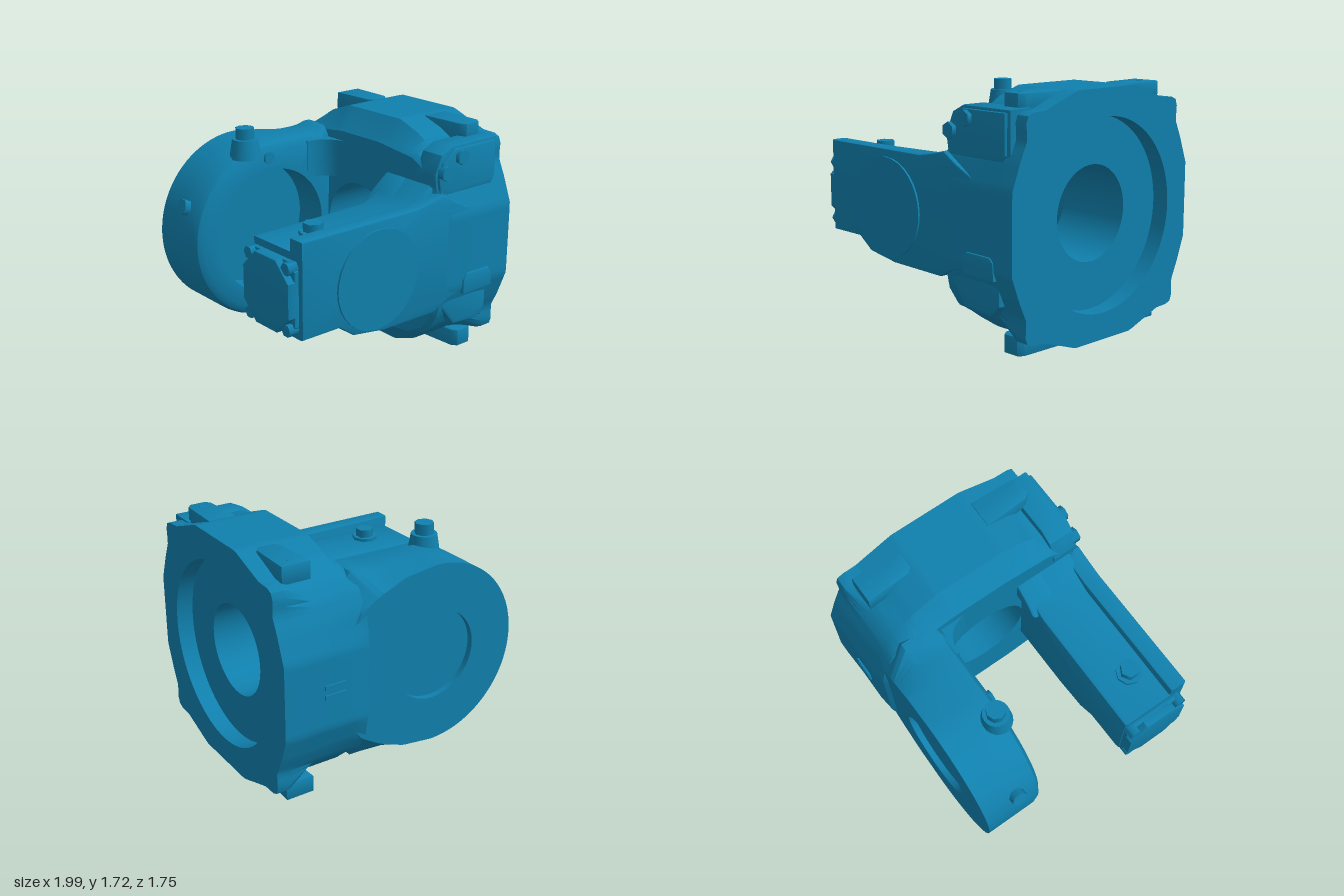
import * as THREE from 'three';
import { toCreasedNormals } from 'three/addons/utils/BufferGeometryUtils.js';

const MID = 0.864; // height of the main axes
const material = new THREE.MeshStandardMaterial({ color: 0x1080ad });

// Distance from the origin to a star-shaped polygon along an angle
function polyRadius(points, angle) {
  const dx = Math.cos(angle), dy = Math.sin(angle);
  let best = 0;
  points.forEach(([ax, ay], i) => {
    const [bx, by] = points[(i + 1) % points.length];
    const ex = bx - ax, ey = by - ay, det = dx * ey - dy * ex;
    if (Math.abs(det) < 1e-9) return;
    const t = (ax * ey - ay * ex) / det, s = (ax * dy - ay * dx) / det;
    if (t > 0 && s >= -1e-6 && s <= 1 + 1e-6) best = Math.max(best, t);
  });
  return best;
}

// Skin over rings [radius or polygon, position along axis, scale]
function loft(rings, place, n = 144) {
  const grid = rings.map(([shape, w, k = 1]) => Array.from({ length: n }, (_, j) => {
    const a = (j / n) * Math.PI * 2;
    const r = k * (typeof shape === 'number' ? shape : polyRadius(shape, a));
    return place(r * Math.cos(a), r * Math.sin(a), w);
  }));
  const pos = [];
  for (let i = 0; i < grid.length - 1; i++) {
    for (let j = 0; j < n; j++) {
      const k = (j + 1) % n;
      const a = grid[i][j], b = grid[i][k], c = grid[i + 1][k], d = grid[i + 1][j];
      pos.push(...a, ...b, ...c, ...a, ...c, ...d);
    }
  }
  const g = new THREE.BufferGeometry();
  g.setAttribute('position', new THREE.Float32BufferAttribute(pos, 3));
  return toCreasedNormals(g, 0.6);
}

// Outline in the xy plane, extruded from z0 to z1 with a small bevel
function slab(points, z0, z1, bevel = 0.015) {
  const shape = new THREE.Shape(points.map(([x, y]) => new THREE.Vector2(x, y)));
  const g = new THREE.ExtrudeGeometry(shape, {
    depth: z1 - z0 - 2 * bevel, bevelSize: bevel, bevelOffset: -bevel, bevelThickness: bevel, bevelSegments: 2,
  });
  return toCreasedNormals(g.translate(0, 0, z0 + bevel), 0.6);
}

export function createModel() {
  const model = new THREE.Group();
  const add = (name, geometry) => {
    const mesh = new THREE.Mesh(geometry, material);
    mesh.name = name;
    model.add(mesh);
    return mesh;
  };
  // Cylinder standing on a point along a direction
  const peg = (name, at, dir, r, h, sides = 6, rBase = r) => {
    const mesh = add(name, new THREE.CylinderGeometry(r, rBase, h, sides));
    const d = new THREE.Vector3(...dir).normalize();
    mesh.quaternion.setFromUnitVectors(new THREE.Vector3(0, 1, 0), d);
    mesh.position.set(...at).addScaledVector(d, h / 2);
  };
  const mirror4 = (quarter) => {
    const back = [...quarter].reverse();
    return [...quarter, ...back.map(([u, v]) => [-u, v]),
      ...quarter.map(([u, v]) => [-u, -v]), ...back.map(([u, v]) => [u, -v])];
  };

  // Body: bored housing with a recessed mounting face
  const inner = mirror4([[0.81, 0.3], [0.78, 0.45], [0.7, 0.58], [0.55, 0.66], [0.2, 0.7]]);
  const middle = mirror4([[0.86, 0.27], [0.79, 0.46], [0.73, 0.58], [0.64, 0.68], [0.47, 0.79],
    [0.28, 0.86]]);
  const flange = mirror4([[0.868, 0.27], [0.8, 0.45], [0.74, 0.58], [0.75, 0.72], [0.7, 0.75],
    [0.58, 0.755], [0.45, 0.8], [0.28, 0.86]]);
  add('body', loft([
    [0.335, 0.31], [inner, 0.31], [inner, 0.34, 1.04], [middle, 0.45], [middle, 0.7], [flange, 0.9],
    [flange, 0.995], [0.67, 0.995], [0.67, 0.87], [0.335, 0.87], [0.335, 0.31],
  ], (u, v, w) => [w, MID + v, -u]));

  // Mounting tabs at top and bottom, with screw heads
  for (const sz of [-1, 1]) {
    for (const top of [true, false]) {
      const tab = add('mountingTab', slab([[0.67, 0.3], [0.88, 0.3], [0.87, 0.63],
        [0.84, 0.67], [0.72, 0.67], [0.69, 0.63]], 0, 0.13, 0.008));
      tab.rotation.x = Math.PI / 2;
      tab.position.y = top ? 1.722 : 0.13;
      if (sz < 0) tab.position.z = -0.97;
      peg('tabScrew', [0.775, top ? 1.71 : 0.014, sz * 0.59], [0, top ? 1 : -1, 0], 0.025, 0.013);
    }
  }

  // Back arm: round hub with a shallow outer recess and a deep inner pocket
  const arc = [];
  for (let i = 0; i <= 32; i++) {
    const a = Math.PI / 2 + (i / 32) * Math.PI;
    arc.push([0.67 * Math.cos(a), 0.67 * Math.sin(a)]);
  }
  const hub = [...arc, [0.42, -0.67], [0.5, -0.68], [0.57, -0.71], [0.68, -0.58], [0.7, -0.38],
    [0.7, 0.38], [0.68, 0.58], [0.57, 0.71], [0.5, 0.68], [0.42, 0.67]];
  const hubFace = [...arc, [0.25, -0.64], [0.45, -0.56], [0.6, -0.47], [0.69, -0.35],
    [0.69, 0.35], [0.6, 0.47], [0.45, 0.56], [0.25, 0.64]];
  add('backArm', loft([
    [0, -0.77], [0.33, -0.77], [0.33, -0.815], [hubFace, -0.815], [hub, -0.64], [hub, -0.43],
    [hub, -0.38, 0.97], [hub, -0.35, 0.9], [0.47, -0.35], [0.47, -0.62], [0, -0.62],
  ], (u, v, w) => [u - 0.23, MID + v, w]));

  // Curved webs joining the back arm to the body, above and below the bore
  const web = new THREE.Shape();
  web.moveTo(0.1, 0.345);
  web.quadraticCurveTo(0.31, 0.34, 0.315, 0.1);
  web.lineTo(0.37, 0.1);
  web.lineTo(0.37, 0.5);
  web.lineTo(0.1, 0.5);
  for (const y of [1.21, 0.24]) {
    const g = new THREE.ExtrudeGeometry(web, { depth: 0.28, bevelEnabled: false, curveSegments: 10 });
    g.rotateX(-Math.PI / 2).translate(0, y, 0);
    add('cornerWeb', toCreasedNormals(g, 0.6));
  }

  // Plugs and screws on the back arm
  peg('topBoss', [-0.42, 1.45, -0.41], [0, 1, 0], 0.092, 0.14, 20, 0.115);
  peg('topPlug', [-0.42, 1.58, -0.41], [0, 1, 0], 0.068, 0.09, 8);
  peg('bottomBoss', [-0.1, 0.25, -0.43], [0, -1, 0], 0.085, 0.11, 20, 0.1);
  peg('bottomPlug', [-0.1, 0.15, -0.43], [0, -1, 0], 0.066, 0.09, 8);
  peg('rimPlug', [-0.78, 1.1, -0.55], [-0.95, 0.35, 0], 0.06, 0.12, 6);
  for (const [x, y] of [[-0.26, 1.43], [-0.28, 0.3]]) {
    peg('armScrew', [x, y, -0.38], [0, 0, 1], 0.047, 0.05);
  }

  // Front arm: main beam, taller outer wall and round cover
  const lower = [[-0.91, 0.6], [-0.6, 0.6], [-0.47, 0.51], [-0.2, 0.47], [0.28, 0.465]];
  add('frontArm', slab([[-0.91, 0.62], ...lower.slice(1), [0.5, 0.42], [0.5, 1.4], [0.33, 1.38],
    [0.2, 1.27], [0.05, 1.2], [-0.91, 1.18]], 0.33, 0.76, 0.03));
  add('frontArmWall', slab([...lower, [0.4, 0.53], [0.7, 0.6], [0.7, 1.13], [0.45, 1.25], [0.33, 1.32],
    [0.2, 1.29], [0.08, 1.27], [-0.91, 1.27]], 0.72, 0.85));
  add('frontArmWeb', slab([[0.1, 1.19], [0.4, 1.21], [0.4, 1.4], [0.3, 1.36], [0.18, 1.27]], 0.29, 0.5, 0.02));
  peg('roundCover', [-0.27, 0.86, 0.8], [0, 0, 1], 0.355, 0.064, 32);
  peg('armBoss', [-0.61, 1.14, 0.59], [0, 1, 0], 0.095, 0.07, 8);
  peg('armPlug', [-0.61, 1.19, 0.59], [0, 1, 0], 0.068, 0.08, 6);

  // End cap: thin plate, raised centre with clipped corners, corner screws
  for (const [clip, depth] of [[0.06, 0.04], [0.13, 0.092]]) {
    const w = 0.24, h = 0.25;
    const cap = add('endCap', slab([[-w, clip - h], [clip - w, -h], [w - clip, -h], [w, clip - h],
      [w, h - clip], [w - clip, h], [clip - w, h], [-w, h - clip]], 0, depth, 0.01));
    cap.rotation.y = -Math.PI / 2;
    cap.position.set(-0.905, 0.88, 0.575);
  }
  for (const y of [0.67, 1.09]) {
    for (const z of [0.38, 0.77]) peg('capScrew', [-0.9, y, z], [-1, 0, 0], 0.045, 0.085);
  }

  // Upper cover plate on the front of the body
  add('coverPlate', slab([[0.32, 1.29], [0.86, 1.29], [0.9, 1.33], [0.9, 1.63], [0.46, 1.63],
    [0.36, 1.58], [0.3, 1.45]], 0.6, 0.79, 0.01));
  add('coverLid', slab([[0.34, 1.3], [0.84, 1.3], [0.87, 1.34], [0.87, 1.61], [0.47, 1.61],
    [0.36, 1.53], [0.32, 1.42]], 0.74, 0.812, 0.008));
  for (const [x, y] of [[0.37, 1.46], [0.52, 1.55]]) {
    peg('coverScrew', [x, y, 0.78], [0, 0, 1], 0.055, 0.065);
  }

  // Lower front bracket
  add('lowerBracket', slab([[0.33, 0.52], [0.42, 0.4], [0.5, 0.3], [0.75, 0.28], [0.83, 0.36],
    [0.83, 0.55], [0.36, 0.56]], 0.6, 0.825, 0.02));
  add('bracketPad', slab([[0.54, 0.54], [0.83, 0.54], [0.82, 0.66], [0.79, 0.69], [0.57, 0.69],
    [0.54, 0.65]], 0.7, 0.874, 0.008));

  // Raised ribs on the back of the body
  for (const y of [0.83, 0.9]) {
    add('backRib', new THREE.BoxGeometry(0.16, 0.035, 0.06)).position.set(0.61, y, -0.842);
  }

  return model;
}
